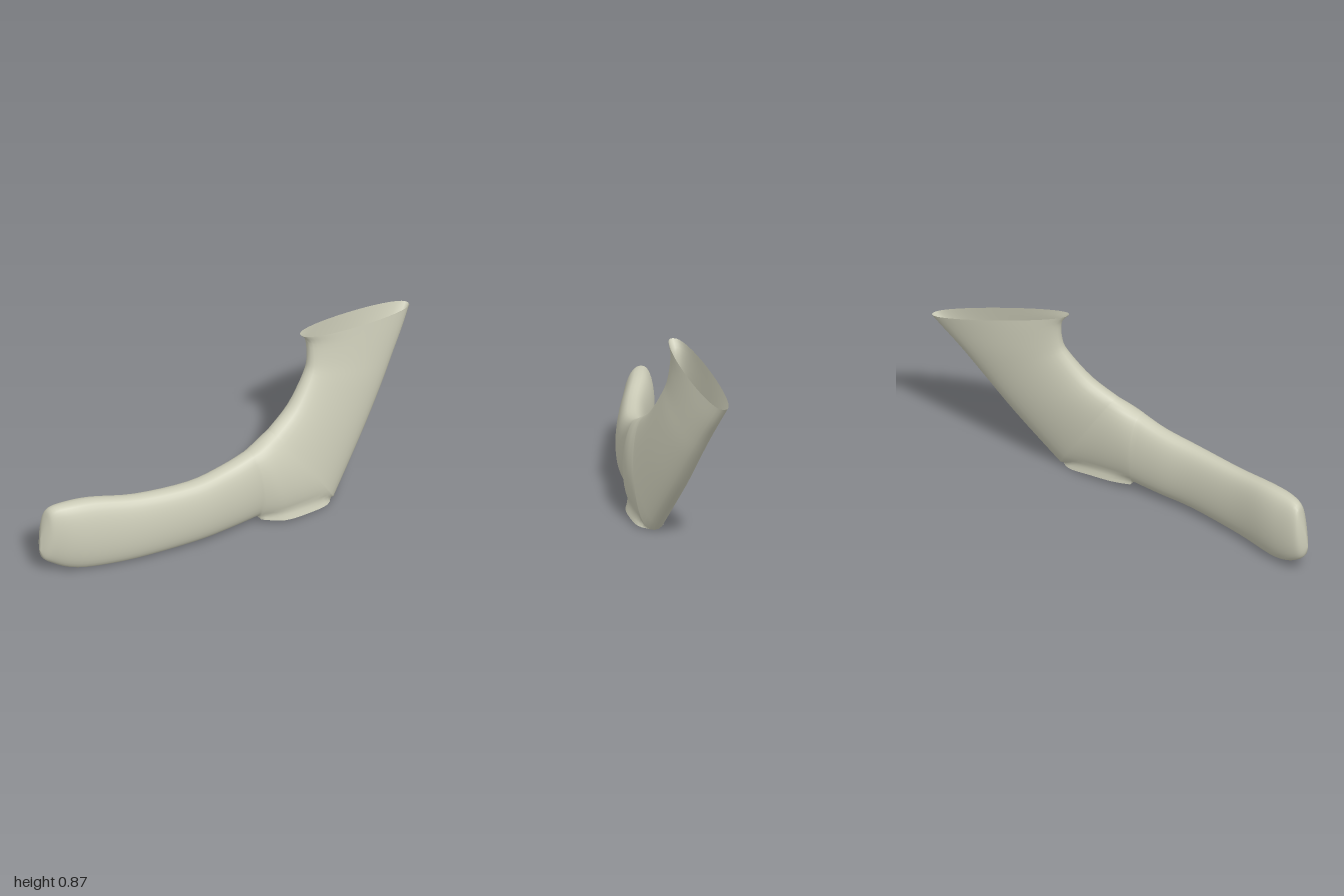
import * as THREE from 'three';
import { mergeVertices } from 'three/addons/utils/BufferGeometryUtils.js';

const RING = 36, STEPS = 4;

// Each section: lower x, y, upper x, y, lower z, upper z, half thickness, half gap at the lower edge
const sleeve = [
  [-1, 0.15, -0.995, 0.2, -0.15, -0.155, 0, 0],
  [-0.985, 0.1, -0.97, 0.31, -0.15, -0.155, 0.035, 0],
  [-0.95, 0.068, -0.945, 0.362, -0.145, -0.145, 0.055, 0],
  [-0.88, 0.03, -0.87, 0.377, -0.12, -0.12, 0.072, 0],
  [-0.78, 0.01, -0.75, 0.374, -0.085, -0.085, 0.077, 0],
  [-0.58, 0.012, -0.55, 0.347, -0.015, -0.015, 0.073, 0],
  [-0.3, 0.025, -0.3, 0.345, 0.05, 0.05, 0.074, 0],
  [-0.12, 0.032, -0.12, 0.37, 0.068, 0.068, 0.074, 0],
  [0.03, 0.045, 0, 0.405, 0.08, 0.08, 0.077, 0],
];
// Open hem along the bottom
const hem = [
  [0.035, 0.04, 0.005, 0.407, 0.085, 0.08, 0.08, 0.045],
  [0.13, 0.025, 0.04, 0.42, 0.11, 0.078, 0.088, 0.07],
  [0.25, 0.017, 0.08, 0.438, 0.118, 0.074, 0.09, 0.072],
  [0.37, 0.008, 0.11, 0.452, 0.118, 0.07, 0.088, 0.058],
  [0.43, 0.003, 0.13, 0.462, 0.115, 0.068, 0.086, 0],
];
// Slanted body, ending at the open top
const body = [
  hem[4],
  [0.63, 0.24, 0.25, 0.535, 0.055, 0.05, 0.083, 0],
  [0.77, 0.42, 0.35, 0.65, 0.012, 0.025, 0.076, 0],
  [0.86, 0.54, 0.378, 0.72, -0.02, 0.012, 0.07, 0],
  [0.94, 0.64, 0.376, 0.82, -0.05, 0.004, 0.064, 0],
  [1, 0.72, 0.34, 0.875, -0.077, 0.01, 0.06, 0],
];

// Smooth interpolation between the given sections
function refine(rows) {
  const out = [];
  const at = (i) => rows[Math.min(Math.max(i, 0), rows.length - 1)];
  for (let i = 0; i < rows.length - 1; i++) {
    for (let s = 0; s < STEPS; s++) {
      const t = s / STEPS;
      out.push(at(i).map((p1, k) => {
        const p0 = at(i - 1)[k], p2 = at(i + 1)[k], p3 = at(i + 2)[k];
        return p1 + 0.5 * t * (p2 - p0 + t * (2 * p0 - 5 * p1 + 4 * p2 - p3 + t * (3 * (p1 - p2) + p3 - p0)));
      }));
    }
  }
  out.push(rows[rows.length - 1]);
  return out;
}

// Flattened oval rings joined into a skin
function loft(sections) {
  const position = [], index = [];
  sections.forEach(([lx, ly, ux, uy, lz, uz, half, gap], i) => {
    for (let j = 0; j <= RING; j++) {
      const a = (j / RING) * Math.PI * 2;
      const p = (1 - Math.cos(a)) / 2;
      const side = j <= RING / 2 ? 1 : -1;
      const oval = half * Math.pow(Math.abs(Math.sin(a)), 0.8);
      const open = Math.max(gap, 0) * Math.max(0, 1 - p * 1.6);
      const depth = j === RING / 2 ? 0 : Math.max(oval, open);
      position.push(
        THREE.MathUtils.lerp(lx, ux, p),
        THREE.MathUtils.lerp(ly, uy, p),
        THREE.MathUtils.lerp(lz, uz, p) + side * depth
      );
      if (i < sections.length - 1 && j < RING) {
        const c = i * (RING + 1) + j, d = c + RING + 1;
        index.push(c, d, d + 1, c, d + 1, c + 1);
      }
    }
  });
  const g = new THREE.BufferGeometry();
  g.setAttribute('position', new THREE.Float32BufferAttribute(position, 3));
  g.setIndex(index);
  const merged = mergeVertices(g, 1e-4);
  merged.computeVertexNormals();
  return merged;
}

export function createModel() {
  const group = new THREE.Group();
  group.name = 'sleeveGarment';
  const cloth = new THREE.MeshStandardMaterial({ color: 0xccccb8, side: THREE.DoubleSide });
  const sections = [...refine(sleeve), ...refine(hem), ...refine(body).slice(1)];
  const shell = new THREE.Mesh(loft(sections), cloth);
  shell.name = 'sleeveShell';
  group.add(shell);
  return group;
}
